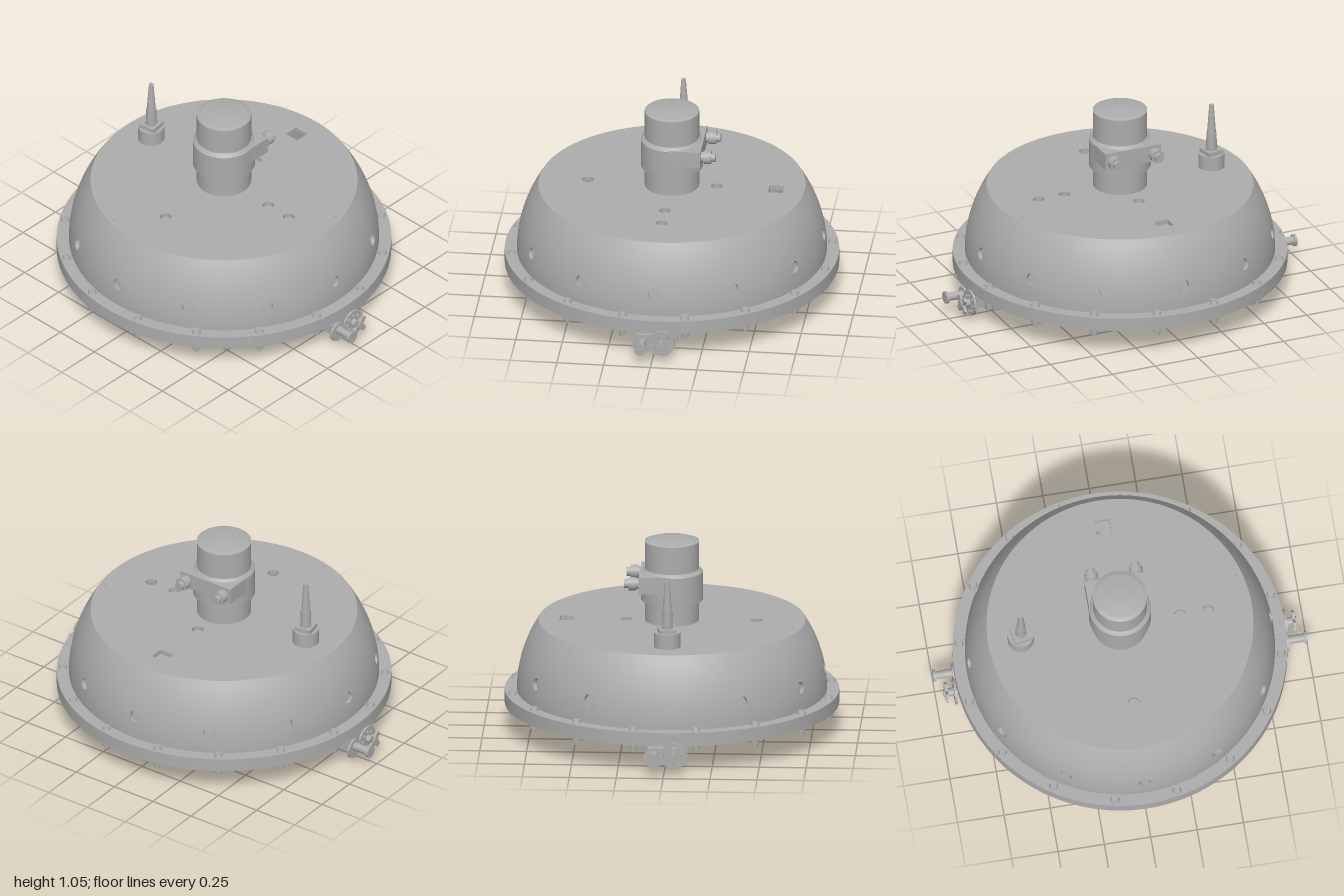
import * as THREE from 'three';
import { mergeVertices } from 'three/addons/utils/BufferGeometryUtils.js';

const grey = new THREE.MeshStandardMaterial({ color: 0xacacac, side: THREE.DoubleSide });
grey.name = 'plain grey';

function add(parent, name, geo, x = 0, y = 0, z = 0) {
  const m = new THREE.Mesh(geo, grey);
  m.name = name;
  m.position.set(x, y, z);
  parent.add(m);
  return m;
}
function group(parent, name) {
  const g = new THREE.Group();
  g.name = name;
  parent.add(g);
  return g;
}
// upright cylinder between two heights
function cyl(rBottom, rTop, y0, y1, seg = 32) {
  return new THREE.CylinderGeometry(rTop, rBottom, y1 - y0, seg).translate(0, (y0 + y1) / 2, 0);
}
// cylinder along z between two depths
const cylZ = (r, z0, z1, seg = 24) => cyl(r, r, z0, z1, seg).rotateX(Math.PI / 2);
// box from min and max corners
function box(x0, x1, y0, y1, z0, z1) {
  return new THREE.BoxGeometry(x1 - x0, y1 - y0, z1 - z0)
    .translate((x0 + x1) / 2, (y0 + y1) / 2, (z0 + z1) / 2);
}
// flat plate with holes, drawn in x,z
function plate(shape, y0, y1, curveSegments = 24) {
  return new THREE.ExtrudeGeometry(shape, { depth: y1 - y0, bevelEnabled: false, curveSegments })
    .rotateX(-Math.PI / 2).translate(0, y0, 0);
}
function disc(r, holes) {
  const s = new THREE.Shape().absarc(0, 0, r, 0, Math.PI * 2);
  holes.forEach(([x, z, hr]) => s.holes.push(new THREE.Path().absarc(x, -z, hr, 0, Math.PI * 2, true)));
  return s;
}

const domeRadius = y => 0.825 * Math.sqrt(1 - ((y - 0.22) / 0.746) ** 2);
const PORT_Y = 0.345, PORT_R = 0.032;

// one twelfth of the dome, with a round port opening
function domeSector(phi0) {
  const n = 12, rows = 8, half = Math.PI / 12, y0 = 0.22, y1 = 0.6, edge = [];
  for (let i = 0; i < n; i++) edge.push([half, y0 + (y1 - y0) * i / n]);
  for (let i = 0; i < n; i++) edge.push([half - 2 * half * i / n, y1]);
  for (let i = 0; i < n; i++) edge.push([-half, y1 - (y1 - y0) * i / n]);
  for (let i = 0; i < n; i++) edge.push([-half + 2 * half * i / n, y0]);
  const pos = [], idx = [], w = rows + 1;
  edge.forEach(([u, y], i) => {
    const a = Math.atan2(y - PORT_Y, u * 0.815);
    const hu = PORT_R * Math.cos(a) / 0.815, hy = PORT_Y + PORT_R * Math.sin(a);
    for (let j = 0; j <= rows; j++) {
      const t = j / rows, phi = phi0 + hu + (u - hu) * t, h = hy + (y - hy) * t, r = domeRadius(h);
      pos.push(r * Math.sin(phi), h, r * Math.cos(phi));
      if (j < rows) {
        const p = i * w + j, q = ((i + 1) % edge.length) * w + j;
        idx.push(p, p + 1, q + 1, p, q + 1, q);
      }
    }
  });
  return { pos, idx };
}

function buildDome(root) {
  const pos = [], idx = [];
  const ports = group(root, 'sidePorts');
  for (let k = 0; k < 12; k++) {
    const phi = k * Math.PI / 6, s = domeSector(phi), base = pos.length / 3;
    pos.push(...s.pos);
    idx.push(...s.idx.map(i => i + base));
    // recessed cup behind each opening
    const cup = group(ports, 'sidePort'), r = domeRadius(PORT_Y);
    add(cup, 'portWall', new THREE.CylinderGeometry(PORT_R, PORT_R, 0.025, 24, 1, true)
      .rotateX(Math.PI / 2).translate(0, 0, -0.0125));
    add(cup, 'portFloor', new THREE.CircleGeometry(PORT_R, 24), 0, 0, -0.022);
    cup.position.set(r * Math.sin(phi), PORT_Y, r * Math.cos(phi));
    cup.lookAt(2 * r * Math.sin(phi), PORT_Y + 0.188 * r, 2 * r * Math.cos(phi));
  }
  let g = new THREE.BufferGeometry();
  g.setAttribute('position', new THREE.Float32BufferAttribute(pos, 3));
  g.setIndex(idx);
  g = mergeVertices(g, 1e-4);
  g.computeVertexNormals();
  add(root, 'domeWall', g);

  // flat roof with round, tiny and square openings
  const roof = disc(domeRadius(0.6), [[-0.45, 0, 0.031], [0.24, 0, 0.031], [0, 0.325, 0.031],
    [0, 0.475, 0.031], [-0.66, -0.18, 0.006], [0.48, -0.485, 0.006], [0.175, 0.655, 0.006]]);
  const sq = new THREE.Path();
  sq.moveTo(0.52, -0.042).lineTo(0.52, 0.042).lineTo(0.597, 0.042).lineTo(0.597, -0.042).closePath();
  roof.holes.push(sq);
  add(root, 'roof', plate(roof, 0.575, 0.6, 72));
}

function buildTower(root) {
  const t = group(root, 'tower');
  add(t, 'post', cyl(0.145, 0.145, 0.6, 1.035, 64));
  add(t, 'cap', cyl(0.145, 0.125, 1.035, 1.042, 64));
  add(t, 'capCrown', cyl(0.125, 0.04, 1.042, 1.052, 64));
  add(t, 'collar', cyl(0.165, 0.165, 0.715, 0.868, 64));
  add(t, 'collarBevel', cyl(0.165, 0.147, 0.868, 0.885, 64));
  add(t, 'connectorBlock', box(0, 0.17, 0.78, 0.872, -0.163, 0.163));
  for (const z of [-0.12, 0.12]) {
    const c = group(t, 'connector');
    add(c, 'neck', cyl(0.028, 0.028, 0.165, 0.19));
    add(c, 'nut', cyl(0.036, 0.036, 0.185, 0.225));
    add(c, 'tip', cyl(0.024, 0.024, 0.225, 0.248));
    c.rotation.z = -Math.PI / 2;
    c.position.set(0, 0.828, z);
  }
}

function buildAntenna(root) {
  const a = group(root, 'antenna');
  a.position.z = -0.535;
  add(a, 'base', cyl(0.07, 0.07, 0.6, 0.68, 40));
  add(a, 'squareNut', box(-0.047, 0.047, 0.68, 0.702, -0.047, 0.047)).rotation.y = 0.15;
  add(a, 'stem', cyl(0.034, 0.034, 0.7, 0.717, 6));
  add(a, 'sleeve', cyl(0.029, 0.027, 0.717, 0.797));
  add(a, 'whip', cyl(0.024, 0.012, 0.797, 0.96));
}

function buildFlange(root) {
  add(root, 'basePlate', plate(disc(0.89, [[0.65, -0.03, 0.034]]), 0.147, 0.22, 128));
  for (let k = 0; k < 16; k++) {
    const a = (k + 0.5) * Math.PI / 8, b = group(root, 'flangeBolt');
    add(b, 'head', cyl(0.024, 0.018, 0.22, 0.24, 20));
    add(b, 'slotBar', box(-0.012, 0.012, 0.24, 0.242, -0.003, 0.003));
    add(b, 'slotBar', box(-0.003, 0.003, 0.24, 0.242, -0.012, 0.012));
    add(b, 'nut', cyl(0.024, 0.024, 0.122, 0.147, 6));
    add(b, 'thread', cyl(0.012, 0.012, 0.103, 0.125, 12));
    b.position.set(0.857 * Math.cos(a), 0, 0.857 * Math.sin(a));
  }
  // small loose screw below the plate
  add(root, 'screwHead', cyl(0.012, 0.018, 0.086, 0.098, 16), -0.66, 0, -0.18);
  add(root, 'screwShank', cyl(0.007, 0.007, 0.058, 0.088, 12), -0.66, 0, -0.18);
}

// four-lobed outline made of arcs centred on the diagonals
function lobes(path, radius) {
  const c = 0.1556, sweep = Math.PI / 4 + Math.asin(c / radius);
  for (let k = 0; k < 4; k++) {
    const a = Math.PI / 4 + k * Math.PI / 2;
    path.absarc(c * Math.SQRT2 * Math.cos(a), c * Math.SQRT2 * Math.sin(a), radius, a - sweep, a + sweep);
  }
  return path;
}

function buildUnderside(root) {
  const ring = lobes(new THREE.Shape(), 0.4);
  ring.holes.push(lobes(new THREE.Path(), 0.345));
  add(root, 'lobedRing', plate(ring, 0.075, 0.097, 32));
  add(root, 'centreHub', cyl(0.045, 0.045, 0.08, 0.147));
  for (let k = 0; k < 4; k++) {
    const post = group(root, 'ringStandoff');
    add(post, 'block', box(0.455, 0.505, 0.09, 0.147, -0.05, 0.05));
    post.rotation.y = k * Math.PI / 2;

    // radial servo drive with output wheel
    const s = group(root, 'servo');
    add(s, 'body', box(0.17, 0.39, 0.06, 0.147, -0.065, 0.065));
    add(s, 'ears', box(0.125, 0.435, 0.085, 0.1, -0.06, 0.06));
    for (const z of [-0.035, 0.035]) for (const x of [0.148, 0.412]) {
      add(s, 'earPost', cyl(0.016, 0.016, 0.06, 0.147, 12), x, 0, z);
    }
    add(s, 'gearBoss', cyl(0.05, 0.055, 0.046, 0.062), 0.233);
    add(s, 'shaft', cyl(0.026, 0.026, 0.008, 0.048), 0.233);
    add(s, 'wheel', cyl(0.055, 0.055, 0.018, 0.028), 0.233);
    add(s, 'wheelCap', cyl(0.036, 0.036, 0, 0.009), 0.233);
    s.rotation.y = Math.PI / 4 + k * Math.PI / 2;
  }
}

function buildValve(root, turn) {
  const v = group(root, 'sideValve');
  v.rotation.y = turn;
  add(v, 'driveBox', box(-0.04, 0.09, 0.055, 0.147, 0.645, 0.82));
  add(v, 'boxEars', box(-0.07, 0.12, 0.06, 0.14, 0.775, 0.79));
  add(v, 'bracket', box(-0.09, 0.08, 0.075, 0.13, 0.81, 0.875));
  // outlet pipe with end lip
  add(v, 'pipe', cylZ(0.022, 0.86, 1.0), -0.055, 0.1);
  add(v, 'pipeLip', cylZ(0.033, 0.985, 1.0), -0.055, 0.1);
  add(v, 'pipeFlange', cylZ(0.055, 0.885, 0.897), -0.055, 0.085);
  // hand wheel with a ring of holes
  const holes = [];
  for (let k = 0; k < 8; k++) {
    holes.push([0.045 * Math.cos(k * Math.PI / 4), 0.045 * Math.sin(k * Math.PI / 4), 0.009]);
  }
  add(v, 'wheel', plate(disc(0.07, holes), 0, 0.012).rotateX(Math.PI / 2), 0.05, 0.097, 0.893);
  add(v, 'wheelHub', cylZ(0.022, 0.82, 0.96), 0.05, 0.097);
  for (let k = 0; k < 2; k++) {
    add(v, 'crossArm', box(-0.055, 0.055, -0.014, 0.014, 0.938, 0.952), 0.05, 0.097).rotation.z =
      Math.PI / 4 + k * Math.PI / 2;
  }
}

export function createModel() {
  const root = new THREE.Group();
  root.name = 'domedHousing';
  buildDome(root);
  buildTower(root);
  buildAntenna(root);
  buildFlange(root);
  buildUnderside(root);
  buildValve(root, 0);
  buildValve(root, Math.PI);
  return root;
}
